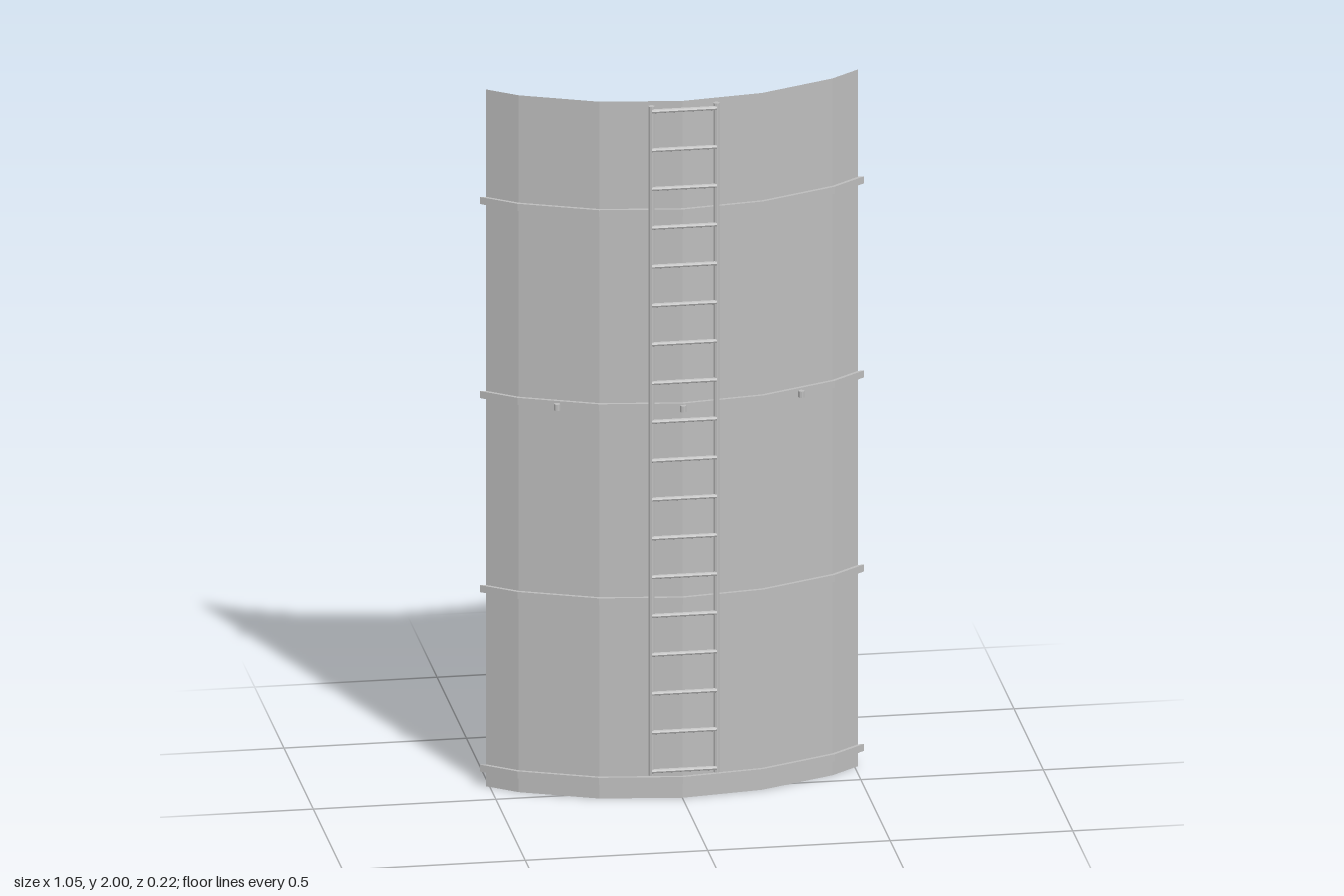
import * as THREE from 'three';

const BACK = -0.108; // plane where the round tank is cut off
const AXIS = -0.792; // z of the tank axis

// Arc of a 24-sided cylinder, cut by the back plane, from right to left
function arc(r) {
  const at = (i) => [r * Math.sin(i * Math.PI / 12), AXIS + r * Math.cos(i * Math.PI / 12)];
  const half = [at(0), at(1), at(2)];
  const a = at(2), b = at(3), t = (BACK - a[1]) / (b[1] - a[1]);
  half.push([a[0] + (b[0] - a[0]) * t, BACK]);
  return [...half.slice(1).reverse().map(([x, z]) => [-x, z]), ...half];
}

// Upright strip along the arc
function strip(pts, y0, y1) {
  const pos = [];
  for (let i = 0; i < pts.length - 1; i++) {
    const [ax, az] = pts[i], [bx, bz] = pts[i + 1];
    pos.push(ax, y0, az, bx, y0, bz, bx, y1, bz, ax, y0, az, bx, y1, bz, ax, y1, az);
  }
  const g = new THREE.BufferGeometry();
  g.setAttribute('position', new THREE.Float32BufferAttribute(pos, 3));
  g.computeVertexNormals();
  return g;
}

// Flat plate filling the arc; facing is 1 for up, -1 for down
function plate(pts, y, facing) {
  const shape = new THREE.Shape(pts.map(([x, z]) => new THREE.Vector2(x, -facing * z)));
  return new THREE.ShapeGeometry(shape).rotateX(-facing * Math.PI / 2).translate(0, y, 0);
}

export function createModel() {
  const model = new THREE.Group();
  model.name = 'tankSection';
  const steel = new THREE.MeshStandardMaterial({ color: 0xbebebe, side: THREE.DoubleSide, flatShading: true });
  steel.name = 'grey steel';

  const add = (parent, name, geometry, x = 0, y = 0, z = 0) => {
    const mesh = new THREE.Mesh(geometry, steel);
    mesh.name = name;
    mesh.position.set(x, y, z);
    parent.add(mesh);
    return mesh;
  };

  // Curved wall, open at the top and back, with a floor
  const wall = arc(0.86);
  add(model, 'wall', strip(wall, 0, 2));
  add(model, 'floor', plate(wall, 0, -1));

  // Hoops: thin discs a little wider than the wall, open at the back
  const hoop = arc(0.87);
  for (const y of [0.053, 0.568, 1.125, 1.682]) {
    const g = new THREE.Group();
    g.name = 'hoop';
    add(g, 'hoopRim', strip(hoop, y - 0.01, y + 0.01));
    add(g, 'hoopTop', plate(hoop, y + 0.01, 1));
    add(g, 'hoopUnderside', plate(hoop, y - 0.01, -1));
    model.add(g);
  }

  // Pegs on the middle hoop
  for (const i of [-1, 0, 1]) {
    const a = i * Math.PI / 8;
    add(model, 'peg', new THREE.CylinderGeometry(0.0085, 0.0085, 0.018, 10),
      0.874 * Math.sin(a), 1.122, AXIS + 0.874 * Math.cos(a));
  }

  // Ladder
  const ladder = new THREE.Group();
  ladder.name = 'ladder';
  for (const side of [-1, 1])
    add(ladder, 'ladderRail', new THREE.CylinderGeometry(0.0085, 0.0085, 1.92, 10), side * 0.089, 1.04, 0.096);
  const rung = new THREE.CylinderGeometry(0.006, 0.006, 0.178, 8).rotateZ(Math.PI / 2);
  for (let i = 0; i < 18; i++) add(ladder, 'ladderRung', rung, 0, 0.093 + i * 0.1114, 0.102);
  model.add(ladder);

  return model;
}
